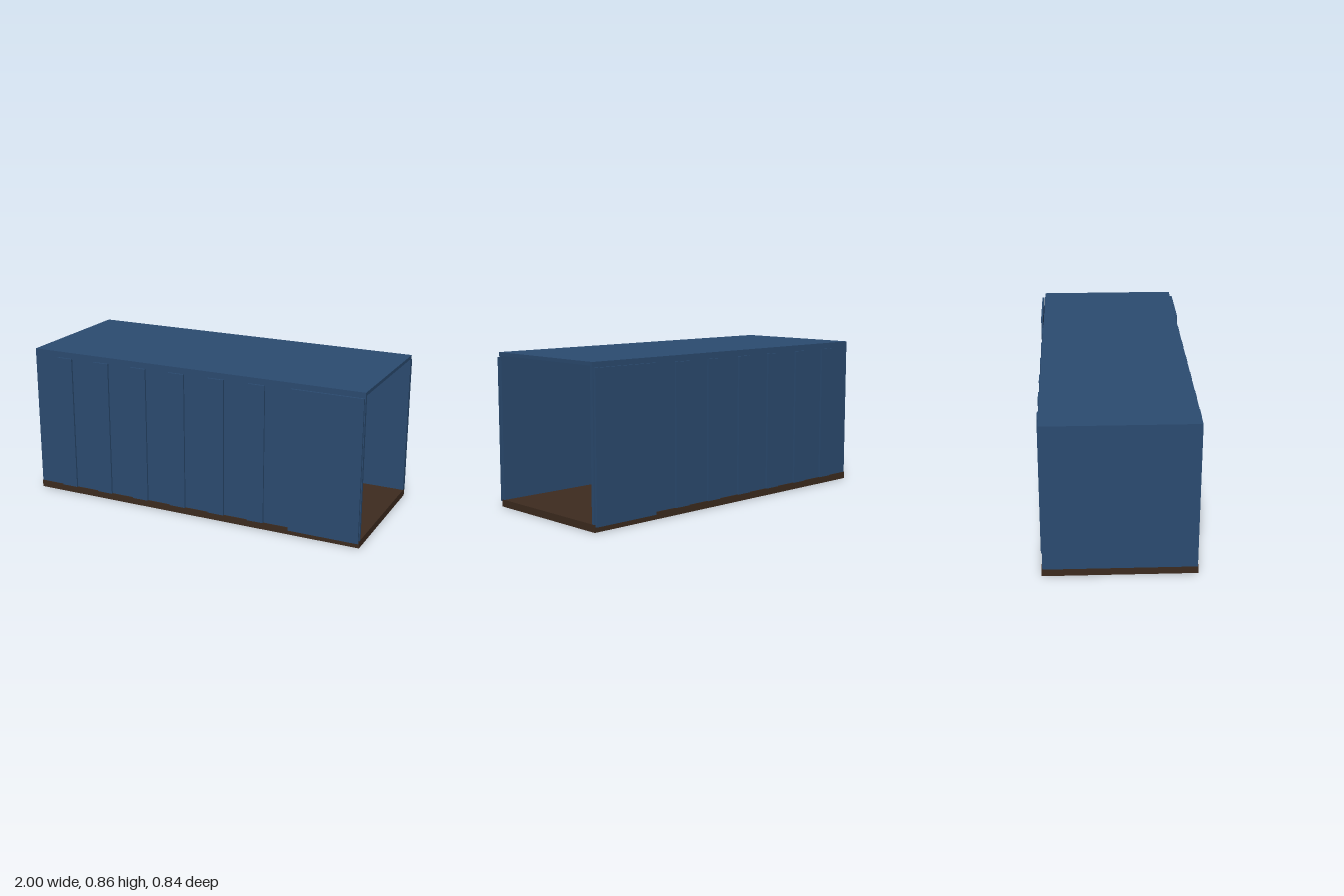
import * as THREE from 'three';

export function createModel() {
  const model = new THREE.Group();
  model.name = 'cargoContainer';

  const material = (name, color) => {
    const m = new THREE.MeshStandardMaterial({ color });
    m.name = name;
    return m;
  };
  const blue = material('bluePaint', 0x2b4b70);
  const wood = material('darkWood', 0x3d2b1f);
  const card = material('cardboard', 0x9b7d5a);

  // Box given by its lowest and highest corners
  const block = (name, mat, [x0, y0, z0], [x1, y1, z1]) => {
    const mesh = new THREE.Mesh(new THREE.BoxGeometry(x1 - x0, y1 - y0, z1 - z0), mat);
    mesh.position.set((x0 + x1) / 2, (y0 + y1) / 2, (z0 + z1) / 2);
    mesh.name = name;
    model.add(mesh);
  };

  // Shell, open at the +x end
  block('floor', wood, [-1, 0, -0.406], [1, 0.04, 0.406]);
  block('roof', blue, [-1, 0.838, -0.402], [1, 0.857, 0.402]);
  block('endWall', blue, [-1, 0.04, -0.384], [-0.98, 0.838, 0.384]);

  // Both long sides: wall, ribs and a door folded back against the wall
  for (const side of [1, -1]) {
    const label = side > 0 ? 'front' : 'back';
    const panel = (name, x0, x1, y0, y1, inner, outer) => {
      const z = [side * inner, side * outer].sort((a, b) => a - b);
      block(label + name, blue, [x0, y0, z[0]], [x1, y1, z[1]]);
    };
    panel('Wall', -1, 1, 0.04, 0.838, 0.384, 0.402);
    for (let i = 0; i < 6; i++) {
      const x = -0.8 + i * 0.24;
      panel('Rib' + (i + 1), x - 0.048, x + 0.048, 0.04, 0.823, 0.402, 0.413);
    }
    panel('Door', 0.6, 0.998, 0.03, 0.829, 0.41, 0.422);
  }

  // Cargo boxes at the closed end
  block('rearBox', card, [-0.85, 0.04, 0.096], [-0.65, 0.238, 0.296]);
  block('leftBox', card, [-0.55, 0.04, 0.067], [-0.35, 0.238, 0.265]);
  block('rightBox', card, [-0.7, 0.04, -0.23], [-0.5, 0.238, -0.032]);
  block('topBox', card, [-0.7, 0.238, -0.098], [-0.5, 0.397, 0.1]);

  return model;
}
